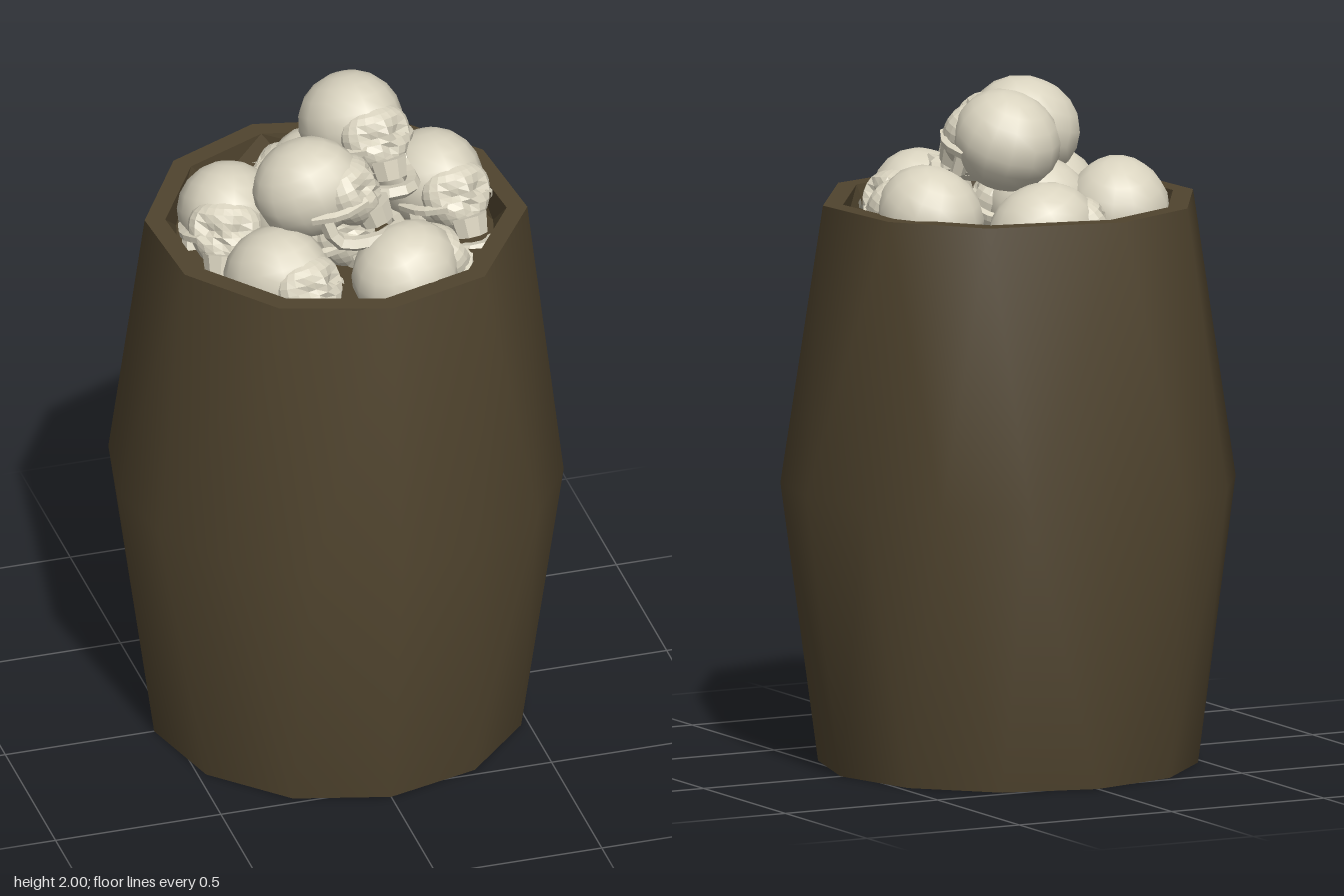
import * as THREE from 'three';

const wood = new THREE.MeshStandardMaterial({ color: 0x50442e });
wood.name = 'darkWood';
const bone = new THREE.MeshStandardMaterial({ color: 0xd9d3bf });
bone.name = 'bone';

const even = (n) => Array.from({ length: n }, (_, i) => (i * 360) / n);
const RIM = [13, 56, 90, 124, 159, 193, 229, 261, 304, 337];
const ring = (angles, r, y) => ({ angles, r, y });

// Skin between rings that may have different numbers of corners
function loft(rings, flat) {
  const pos = [], index = [], start = [];
  for (const { angles, r, y } of rings) {
    start.push(pos.length / 3);
    for (const deg of angles) {
      const t = THREE.MathUtils.degToRad(deg);
      pos.push(r * Math.cos(t), y, r * Math.sin(t));
    }
  }
  for (let k = 0; k + 1 < rings.length; k++) {
    const A = rings[k].angles, B = rings[k + 1].angles;
    const at = (L, i) => L[i % L.length] + 360 * Math.floor(i / L.length);
    const a = (i) => start[k] + (i % A.length);
    const b = (j) => start[k + 1] + (j % B.length);
    let i = 0, j = 0;
    while (i < A.length || j < B.length) {
      if (j >= B.length || (i < A.length && at(A, i + 1) <= at(B, j + 1))) {
        index.push(a(i), b(j), a(i + 1));
        i++;
      } else {
        index.push(a(i), b(j), b(j + 1));
        j++;
      }
    }
  }
  let g = new THREE.BufferGeometry();
  g.setAttribute('position', new THREE.Float32BufferAttribute(pos, 3));
  g.setIndex(index);
  if (flat) g = g.toNonIndexed();
  g.computeVertexNormals();
  return g;
}

function part(name, geometry, material, parent) {
  const m = new THREE.Mesh(geometry, material);
  m.name = name;
  parent.add(m);
  return m;
}

// Move every vertex of a geometry by a rule
function reshape(g, rule) {
  const p = g.attributes.position, v = new THREE.Vector3();
  for (let i = 0; i < p.count; i++) {
    rule(v.fromBufferAttribute(p, i));
    p.setXYZ(i, v.x, v.y, v.z);
  }
  g.computeVertexNormals();
  return g;
}

function faceted(g) {
  const f = g.toNonIndexed();
  f.computeVertexNormals();
  return f;
}

function tube(points, r, n) {
  const curve = new THREE.CatmullRomCurve3(points.map((p) => new THREE.Vector3(...p)));
  return faceted(new THREE.TubeGeometry(curve, n, r, 5));
}

// Shared skull pieces: face toward +z, origin at the middle of the cranium
function skullParts() {
  const cranium = new THREE.SphereGeometry(1, 14, 10);
  const p = cranium.attributes.position;
  for (let i = 0; i < p.count; i++) {
    const x = p.getX(i), y = p.getY(i), z = p.getZ(i);
    p.setXYZ(i, x * 0.15 * (1 - 0.1 * z), y * 0.145, z * 0.165);
  }
  // normals of an ellipsoid keep the seam smooth
  const n = cranium.attributes.normal;
  for (let i = 0; i < n.count; i++) {
    const v = new THREE.Vector3(n.getX(i) / 0.15, n.getY(i) / 0.145, n.getZ(i) / 0.165).normalize();
    n.setXYZ(i, v.x, v.y, v.z);
  }

  // Face with sunken eye sockets and nose hole
  const dents = [[-0.46, 0.22, 0.85, 0.42], [0.46, 0.22, 0.85, 0.42], [0, -0.25, 0.95, 0.25]];
  const face = faceted(reshape(new THREE.SphereGeometry(1, 20, 14), (v) => {
    let s = 1;
    for (const [x, y, z, depth] of dents) {
      const d2 = (v.x - x) ** 2 + (v.y - y) ** 2 + (v.z - z) ** 2;
      s -= depth * Math.exp(-d2 / 0.07);
    }
    v.multiplyScalar(s);
    v.x *= 0.105 * (1 + 0.25 * v.y);
    v.y = v.y * 0.105 - 0.05;
    v.z = v.z * 0.09 + 0.115;
  }));

  const upperJaw = faceted(new THREE.CylinderGeometry(0.06, 0.05, 0.06, 9));
  upperJaw.translate(0, -0.13, 0.155);

  const jaw = [[0.105, -0.04, 0.05], [0.1, -0.15, 0.06], [0.06, -0.19, 0.17]];
  const mirrored = jaw.map(([x, y, z]) => [-x, y, z]).reverse();
  const lowerJaw = tube([...jaw, [0, -0.195, 0.215], ...mirrored], 0.023, 16);

  const cheeks = [-1, 1].map((s) =>
    tube([[s * 0.065, -0.06, 0.175], [s * 0.115, -0.06, 0.11], [s * 0.13, -0.045, 0.02]], 0.015, 5));
  return { cranium, face, upperJaw, lowerJaw, rightCheekbone: cheeks[0], leftCheekbone: cheeks[1] };
}

export function createModel() {
  const model = new THREE.Group();
  model.name = 'barrelOfSkulls';

  // Barrel: rounded body, open rim, inner wall, filled top and recessed base
  const barrel = new THREE.Group();
  barrel.name = 'barrel';
  model.add(barrel);
  const sides = even(16), foot = even(12);
  part('barrelBody', loft([ring(foot, 0.55, 0), ring(sides, 0.662, 0.83), ring(RIM, 0.555, 1.655)]), wood, barrel);
  part('barrelRim', loft([ring(RIM, 0.555, 1.655), ring(RIM, 0.495, 1.655)], true), wood, barrel);
  part('innerWall', loft([ring(RIM, 0.495, 1.655), ring(foot, 0.475, 1.55)], true), wood, barrel);
  part('barrelFill', loft([ring(foot, 0.475, 1.55), ring([0], 0, 1.55)], true), wood, barrel);
  part('baseRim', loft([ring(foot, 0.49, 0), ring(foot, 0.55, 0)], true), wood, barrel);
  part('baseWall', loft([ring(foot, 0.47, 0.04), ring(foot, 0.49, 0)], true), wood, barrel);
  part('baseDisc', loft([ring([0], 0, 0.04), ring(foot, 0.47, 0.04)], true), wood, barrel);

  // Skulls: x, y, z of the cranium, then the direction it faces
  const skulls = [
    [0.1, 1.856, -0.17, 0.29],
    [-0.12, 1.838, 0.12, 1.09],
    [-0.28, 1.628, -0.15, -0.38],
    [-0.24, 1.618, 0.22, 0.5],
    [0.12, 1.618, 0.31, 2.03],
    [0.33, 1.645, -0.13, 0.3],
    [0.05, 1.6, -0.31, -1.65],
    [-0.08, 1.63, -0.03, 0.73],
  ];
  const pieces = skullParts();
  skulls.forEach(([x, y, z, yaw], i) => {
    const skull = new THREE.Group();
    skull.name = `skull${i + 1}`;
    for (const [name, g] of Object.entries(pieces)) part(name, g, bone, skull);
    skull.position.set(x, y, z);
    skull.rotation.set(-0.38, yaw, 0, 'YXZ');
    model.add(skull);
  });
  return model;
}
